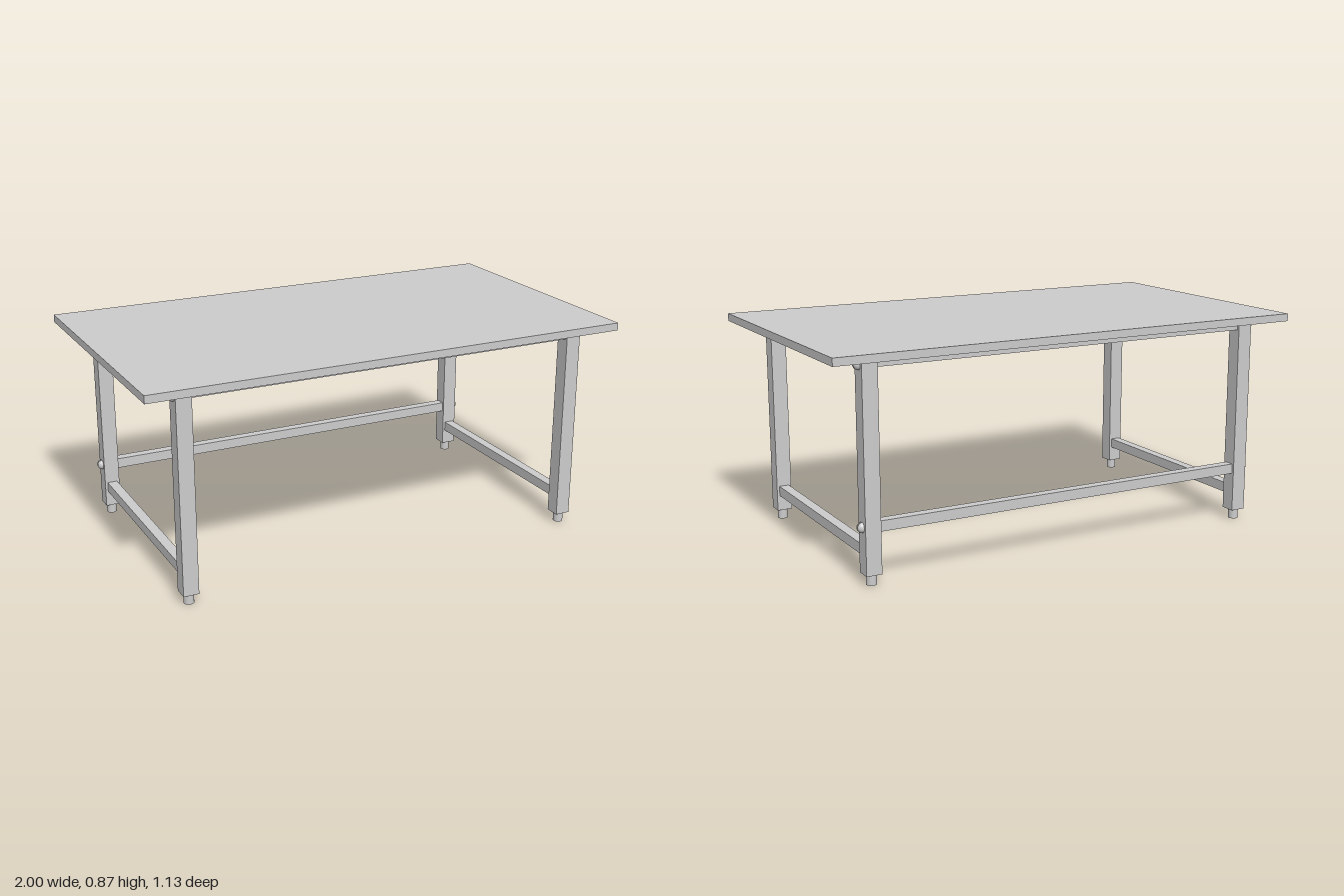
import * as THREE from 'three';

const LEG_X = 0.834, LEG_Z = 0.467, LEG_W = 0.062;
const LEG_BOTTOM = 0.042, TOP_Y = 0.842, RAIL = 0.041;

export function createModel() {
  const model = new THREE.Group();
  model.name = 'workTable';
  const grey = new THREE.MeshStandardMaterial({ color: 0xcccccc });
  const greyThin = new THREE.MeshStandardMaterial({ color: 0xcccccc, side: THREE.DoubleSide });

  function add(name, geometry, x, y, z, parent = model, material = grey) {
    const mesh = new THREE.Mesh(geometry, material);
    mesh.name = name;
    mesh.position.set(x, y, z);
    parent.add(mesh);
    return mesh;
  }
  const box = (name, w, h, d, x, y, z) => add(name, new THREE.BoxGeometry(w, h, d), x, y, z);

  // Domed screw head pointing to +x, split by an upright slot
  function screwHead(x, y, z) {
    const r = 0.02, gap = 0.003;
    const head = new THREE.Group();
    head.name = 'screwHead';
    for (const turn of [0, Math.PI]) {
      const half = new THREE.Group();
      half.name = 'screwHalf';
      const dome = add('screwDome', new THREE.SphereGeometry(r, 10, 16, Math.PI / 2, Math.PI / 2), 0, 0, gap, half);
      dome.scale.z = (r - gap) / r;
      add('slotWall', new THREE.CircleGeometry(r, 16, -Math.PI / 2, Math.PI), 0, 0, gap, half, greyThin);
      half.rotation.x = turn;
      head.add(half);
    }
    head.position.set(x, y, z);
    if (x < 0) head.rotation.y = Math.PI;
    model.add(head);
  }

  // Table top and the shallow frame beneath it
  box('tableTop', 2, 0.031, 1.13, 0, TOP_Y + 0.0155, 0);
  box('topFrame', 2 * LEG_X + RAIL, 0.032, 2 * LEG_Z + RAIL, 0, TOP_Y - 0.016, 0);

  // Legs with round feet and screws
  for (const sx of [1, -1]) {
    for (const sz of [1, -1]) {
      const x = sx * LEG_X, z = sz * LEG_Z;
      box('leg', LEG_W, TOP_Y - LEG_BOTTOM, LEG_W, x, (TOP_Y + LEG_BOTTOM) / 2, z);
      add('foot', new THREE.CylinderGeometry(0.02, 0.02, LEG_BOTTOM, 24), x, LEG_BOTTOM / 2, z);
      for (const y of sz > 0 ? [0.822] : [0.822, 0.222]) {
        screwHead(sx * (LEG_X + LEG_W / 2), y, z);
      }
    }
    // Low rail joining front and back leg
    box('sideRail', RAIL, RAIL, 2 * LEG_Z - LEG_W, sx * LEG_X, 0.126, 0);
  }

  // Low rail between the back legs
  box('backRail', 2 * LEG_X - LEG_W, RAIL, RAIL, 0, 0.222, -LEG_Z);

  return model;
}
